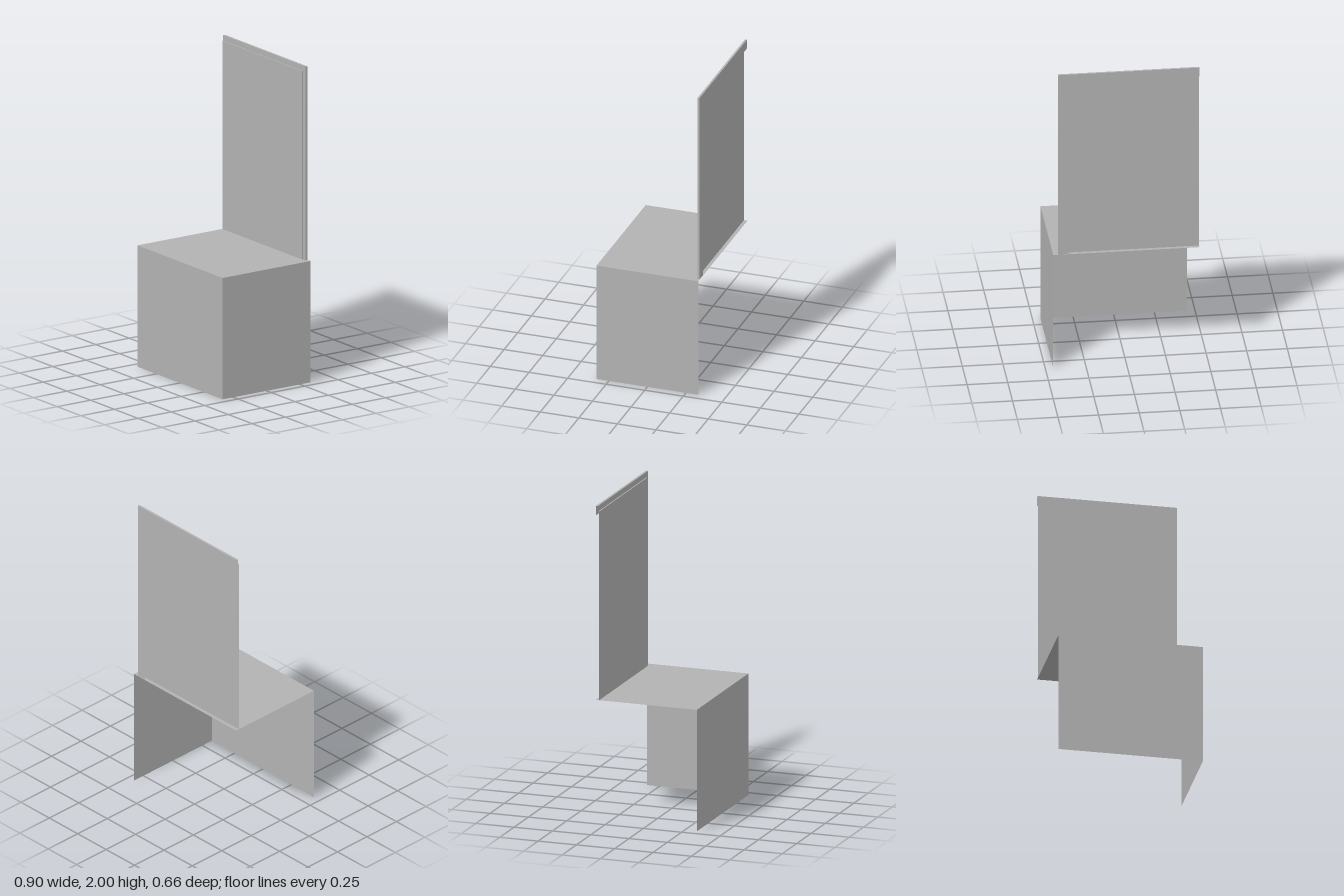
import * as THREE from 'three';

export function createModel() {
  const model = new THREE.Group();
  const grey = new THREE.MeshStandardMaterial({ color: 0xb2b2b2, side: THREE.DoubleSide });
  grey.name = 'grey';

  const left = -0.45, right = 0.45, seatY = 0.77, depth = 0.33;

  function add(parent, name, geometry) {
    const mesh = new THREE.Mesh(geometry, grey);
    mesh.name = name;
    parent.add(mesh);
    return mesh;
  }

  // Thin-walled base: front, one side and top, open elsewhere
  const base = new THREE.Group();
  base.name = 'base';
  model.add(base);
  add(base, 'frontWall', new THREE.PlaneGeometry(right - left, seatY)).position.set(0, seatY / 2, depth);
  const side = add(base, 'sideWall', new THREE.PlaneGeometry(2 * depth, seatY));
  side.rotation.y = Math.PI / 2;
  side.position.set(right, seatY / 2, 0);
  const top = add(base, 'topSheet', new THREE.PlaneGeometry(right - left, 2 * depth));
  top.rotation.x = -Math.PI / 2;
  top.position.set(0, seatY, 0);

  // Upright sheet with a stepped, folded-back border along its top and side
  const panel = new THREE.Group();
  panel.name = 'backPanel';
  model.add(panel);
  const zFace = -0.307, zStep = -0.314, zLip = -0.327;
  const inner = { x: 0.39, y: 1.965 }, outer = { x: 0.42, y: 2 }, lip = { x: 0.355, y: 1.94 };

  // L-shaped flat strip between two corners
  function border(name, a, b, z) {
    const shape = new THREE.Shape([
      [left, a.y], [a.x, a.y], [a.x, seatY], [b.x, seatY], [b.x, b.y], [left, b.y],
    ].map(([x, y]) => new THREE.Vector2(x, y)));
    add(panel, name, new THREE.ShapeGeometry(shape)).position.z = z;
  }

  // Narrow strips running back from one layer to the next
  function returns(name, c, z0, z1) {
    const t = z0 - z1, z = (z0 + z1) / 2;
    const up = add(panel, name + 'Top', new THREE.PlaneGeometry(c.x - left, t));
    up.rotation.x = -Math.PI / 2;
    up.position.set((c.x + left) / 2, c.y, z);
    const edge = add(panel, name + 'Side', new THREE.PlaneGeometry(t, c.y - seatY));
    edge.rotation.y = Math.PI / 2;
    edge.position.set(c.x, (c.y + seatY) / 2, z);
  }

  add(panel, 'panelFace', new THREE.PlaneGeometry(inner.x - left, inner.y - seatY))
    .position.set((inner.x + left) / 2, (inner.y + seatY) / 2, zFace);
  returns('innerReturn', inner, zFace, zStep);
  border('stepBorder', inner, outer, zStep);
  returns('outerReturn', outer, zStep, zLip);
  border('foldedLip', lip, outer, zLip);

  return model;
}
